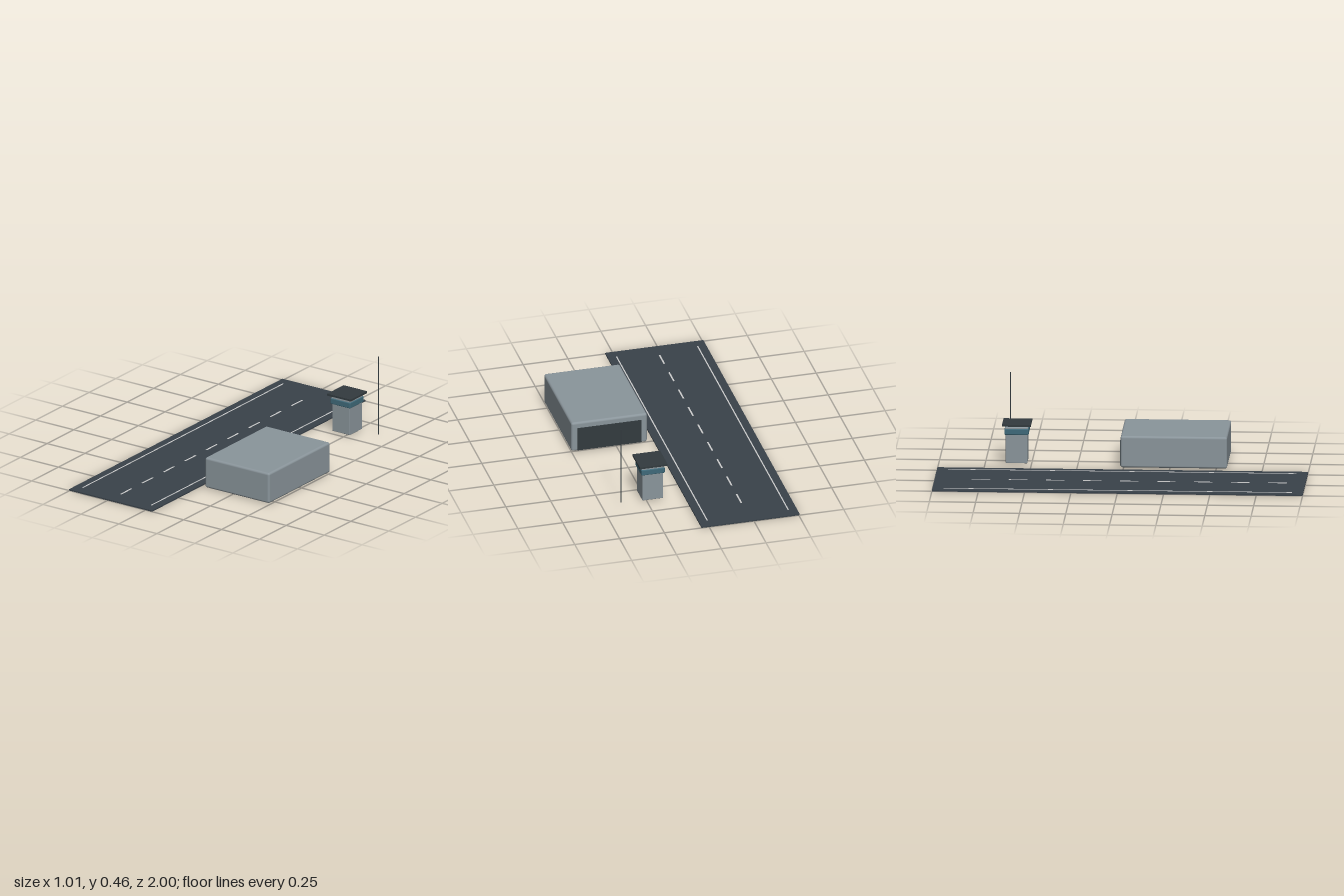
import * as THREE from 'three';
import { RoundedBoxGeometry } from 'three/addons/geometries/RoundedBoxGeometry.js';

const paint = (color) => new THREE.MeshStandardMaterial({ color });

export function createModel() {
  const asphalt = paint(0x39424a);
  const wall = paint(0x8a959b);
  const dark = paint(0x333b3f);
  const glass = paint(0x3f6a7a);
  const marking = paint(0xcfd2d2);

  const model = new THREE.Group();
  model.name = 'airfield';

  function add(parent, name, geometry, material, x, y, z) {
    const mesh = new THREE.Mesh(geometry, material);
    mesh.name = name;
    mesh.position.set(x, y, z);
    parent.add(mesh);
    return mesh;
  }
  function group(name) {
    const g = new THREE.Group();
    g.name = name;
    model.add(g);
    return g;
  }

  const GROUND = 0.007;

  // Runway slab with edge lines and a dashed centre line
  const runway = group('runway');
  const midX = -0.231;
  add(runway, 'runwaySlab', new THREE.BoxGeometry(0.548, GROUND, 2), asphalt, midX, GROUND / 2, 0);
  for (const side of [-1, 1]) {
    add(runway, 'edgeLine', new THREE.BoxGeometry(0.007, 0.002, 1.88), marking,
      midX + side * 0.226, GROUND + 0.0005, 0);
  }
  const dash = new THREE.BoxGeometry(0.009, 0.002, 0.1);
  for (let i = 0; i < 9; i++) {
    add(runway, 'centreDash', dash, marking, midX - 0.002, GROUND + 0.0005, -0.75 + i * 0.2);
  }

  // Hangar with soft edges, its door on the rear end
  const hangar = group('hangar');
  add(hangar, 'hangarBody', new RoundedBoxGeometry(0.423, 0.174, 0.575, 4, 0.012), wall, 0.292, 0.095, 0.2725);
  add(hangar, 'hangarDoor', new THREE.BoxGeometry(0.355, 0.135, 0.01), dark, 0.292, 0.081, -0.014);

  // Control tower: shaft, window band, cap and flat roof
  const tower = group('controlTower');
  tower.position.set(0.217, 0, -0.58);
  add(tower, 'towerShaft', new RoundedBoxGeometry(0.117, 0.175, 0.117, 3, 0.004), wall, 0, 0.0945, 0);
  add(tower, 'windowBand', new RoundedBoxGeometry(0.131, 0.033, 0.131, 3, 0.005), glass, 0, 0.181, 0);
  add(tower, 'towerCap', new RoundedBoxGeometry(0.124, 0.022, 0.124, 3, 0.005), wall, 0, 0.196, 0);
  add(tower, 'towerRoof', new THREE.BoxGeometry(0.155, 0.011, 0.155), dark, 0, 0.2185, 0);

  // Radio mast
  add(model, 'mast', new THREE.CylinderGeometry(0.003, 0.003, 0.45, 12), dark, 0.392, GROUND + 0.225, -0.625);

  return model;
}
